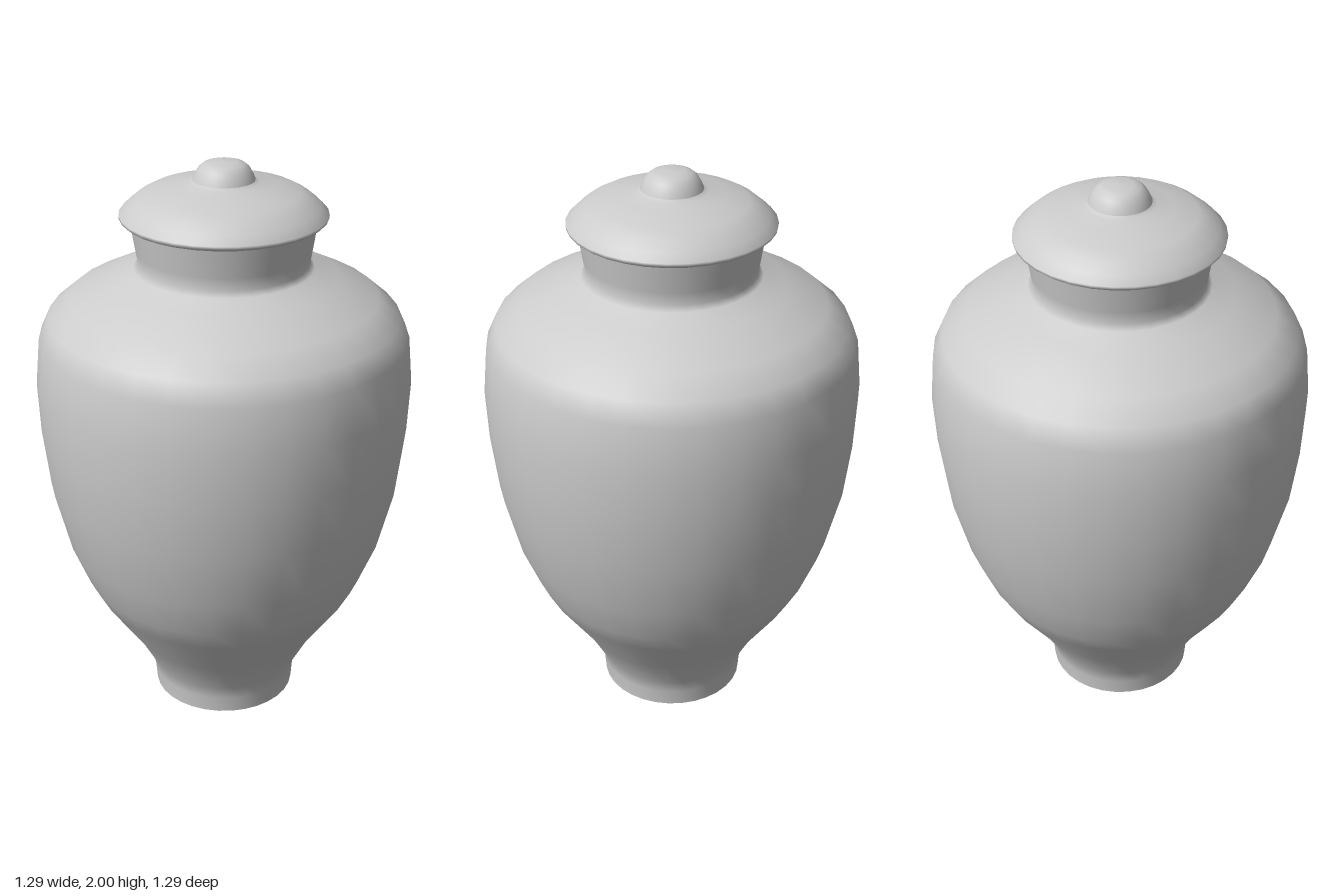
import * as THREE from 'three';

const SEGMENTS = 32;

export function createModel() {
  const group = new THREE.Group();
  const material = new THREE.MeshStandardMaterial({ color: 0xcccccc });

  const add = (name, geometry) => {
    const mesh = new THREE.Mesh(geometry, material);
    mesh.name = name;
    group.add(mesh);
    return mesh;
  };
  // Turns a profile of [radius, height] pairs around the y axis, bottom to top
  const turn = (name, profile) =>
    add(name, new THREE.LatheGeometry(profile.map(([r, y]) => new THREE.Vector2(r, y)), SEGMENTS));

  // Flat underside of the foot
  add('base', new THREE.CircleGeometry(0.253, SEGMENTS)).rotation.x = Math.PI / 2;

  // Foot, belly, shoulder and flared neck
  turn('body', [
    [0.253, 0], [0.258, 0.06], [0.267, 0.11], [0.334, 0.233], [0.456, 0.408],
    [0.5, 0.488], [0.56, 0.636], [0.614, 0.853], [0.638, 1.055], [0.646, 1.235],
    [0.631, 1.4], [0.598, 1.473], [0.524, 1.537], [0.386, 1.606], [0.305, 1.637],
    [0.289, 1.655], [0.296, 1.7], [0.314, 1.81],
  ]);

  // Underside of the lid, closing the mouth
  turn('lidUnderside', [[0, 1.81], [0.29, 1.81], [0.32, 1.805], [0.338, 1.806]]);

  // Domed lid with a rounded rim
  turn('lid', [
    [0.338, 1.806], [0.348, 1.814], [0.349, 1.824], [0.323, 1.85], [0.292, 1.876],
    [0.254, 1.897], [0.175, 1.918], [0.118, 1.928], [0.104, 1.937],
  ]);

  // Knob on top of the lid
  turn('knob', [
    [0.104, 1.937], [0.098, 1.953], [0.085, 1.976], [0.068, 1.99], [0.045, 1.997], [0, 2],
  ]);

  return group;
}
